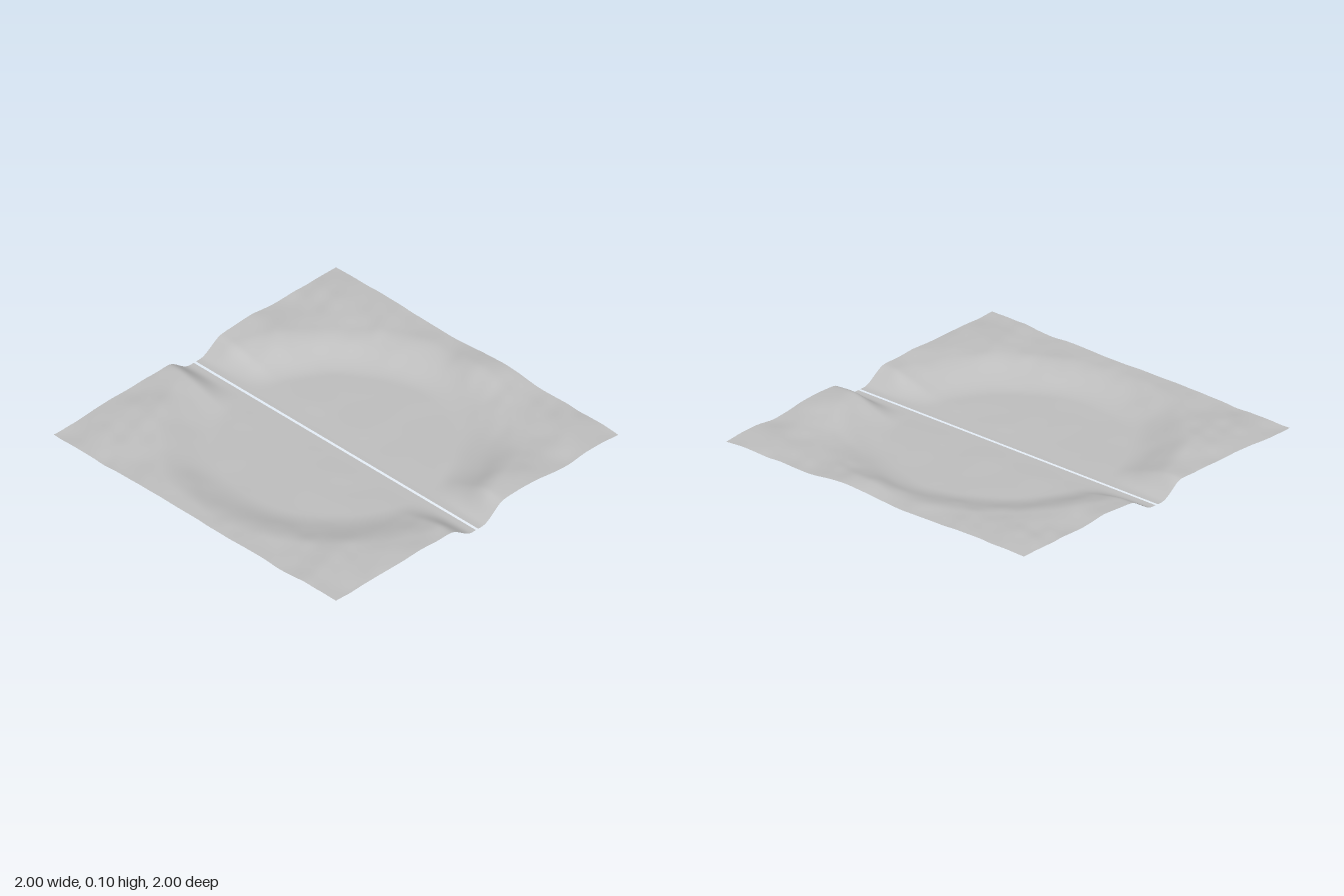
import * as THREE from 'three';

const smooth = THREE.MathUtils.smoothstep;

// Seeded lattice noise, -1..1
function hash(i, j) {
  const s = Math.sin(i * 127.1 + j * 311.7 + 17.3) * 43758.5453;
  return (s - Math.floor(s)) * 2 - 1;
}
function noise(x, z) {
  const i = Math.floor(x), j = Math.floor(z);
  const u = smooth(x - i, 0, 1), v = smooth(z - j, 0, 1);
  const a = THREE.MathUtils.lerp(hash(i, j), hash(i + 1, j), u);
  const b = THREE.MathUtils.lerp(hash(i, j + 1), hash(i + 1, j + 1), u);
  return THREE.MathUtils.lerp(a, b, v);
}

// Broad hills on the rim: x, z, radius, height
const hills = [
  [0.28, 0.9, 0.2, 0.024], [0.92, 0.15, 0.18, 0.022], [-0.62, -0.78, 0.25, 0.020],
  [-0.2, -0.92, 0.15, 0.012], [0.35, -0.9, 0.25, 0.014], [-0.65, 0.85, 0.22, 0.010],
  [-0.95, -0.3, 0.2, 0.008], [0.95, 0.9, 0.25, 0.006], [0.9, -0.75, 0.2, 0.008],
];

// Flat round basin, raised rim and a level cutting along the middle
function height(x, z) {
  let rim = 0.067;
  for (const [hx, hz, r, h] of hills) {
    rim += h * Math.exp(-((x - hx) ** 2 + (z - hz) ** 2) / (r * r));
  }
  // ripples are stretched along one diagonal
  const along = (x - z) * 0.7, across = (x + z) * 0.7;
  rim += 0.007 * noise(along * 4, across * 7) + 0.003 * noise(along * 9 + 5, across * 14);
  const radius = Math.hypot(x, z) + 0.03 * noise(x * 3 + 8, z * 3);
  const basin = smooth(radius, 0.6, 0.93);
  const cutting = smooth(Math.abs(x), 0.035, 0.19);
  const floor = (0.004 + 0.002 * noise(x * 6, z * 6 + 3)) * smooth(Math.abs(x), 0.02, 0.2);
  return floor + Math.min(rim, 0.094) * basin * cutting;
}

export function createModel() {
  const group = new THREE.Group();
  group.name = 'terrain';
  const ground = new THREE.MeshStandardMaterial({ color: 0xbfbfbf, side: THREE.DoubleSide });
  ground.name = 'grey ground';

  // Two land sheets with a narrow slot between them
  const slot = 0.008, width = 1 - slot;
  for (const side of [-1, 1]) {
    const geometry = new THREE.PlaneGeometry(width, 2, 70, 140);
    geometry.rotateX(-Math.PI / 2);
    geometry.translate(side * (slot + width / 2), 0, 0);
    const p = geometry.attributes.position;
    for (let i = 0; i < p.count; i++) p.setY(i, height(p.getX(i), p.getZ(i)));
    geometry.computeVertexNormals();
    const mesh = new THREE.Mesh(geometry, ground);
    mesh.name = side > 0 ? 'leftLand' : 'rightLand';
    group.add(mesh);
  }
  return group;
}
